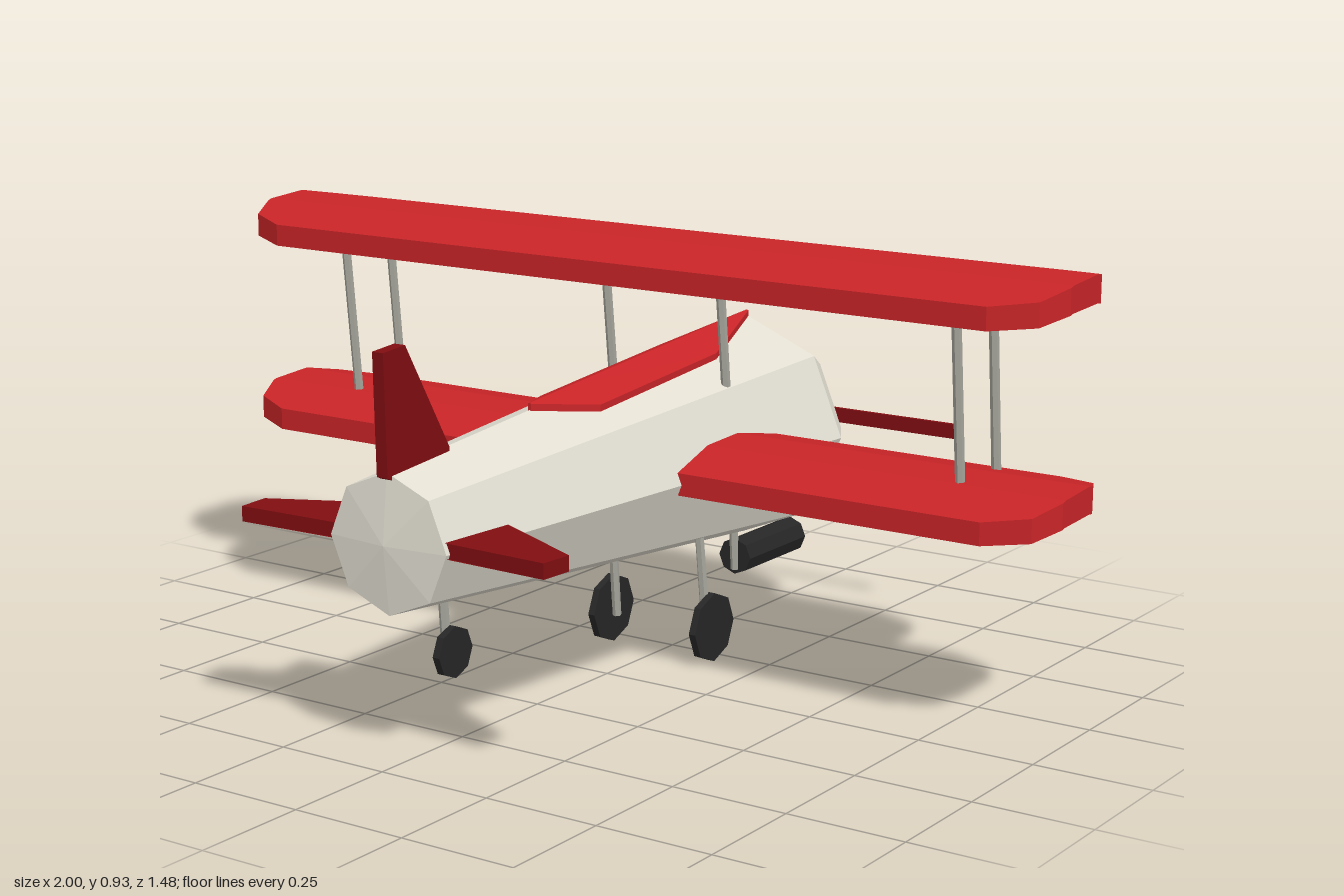
import * as THREE from 'three';

const mat = (name, color) => {
  const m = new THREE.MeshStandardMaterial({ color, flatShading: true });
  m.name = name;
  return m;
};

// Solid from equal-length point loops, counterclockwise seen from the last loop
function loft(loops) {
  const n = loops[0].length, index = [];
  for (let i = 0; i < loops.length - 1; i++) {
    for (let j = 0; j < n; j++) {
      const k = (j + 1) % n, a = i * n + j, b = i * n + k;
      index.push(a, b, b + n, a, b + n, a + n);
    }
  }
  const last = (loops.length - 1) * n;
  for (let j = 1; j < n - 1; j++) index.push(0, j + 1, j, last, last + j, last + j + 1);
  const g = new THREE.BufferGeometry();
  g.setAttribute('position', new THREE.Float32BufferAttribute(loops.flat(2), 3));
  g.setIndex(index);
  g.computeVertexNormals();
  return g;
}

// Eight-sided body of revolution along z, from [radius, z] with z ascending
function turned(profile) {
  return new THREE.LatheGeometry(profile.map(([r, z]) => new THREE.Vector2(r, z)), 8).rotateX(Math.PI / 2);
}

// Arched aerofoil: [z, top y, bottom y] relative to the upper wing
const AEROFOIL = [[-0.325, 0.906, 0.858], [-0.205, 0.927, 0.87], [-0.1, 0.92, 0.866], [0.02, 0.885, 0.838]];
function aerofoilAt(z, column) {
  let i = 0;
  while (i < 2 && z > AEROFOIL[i + 1][0]) i++;
  const p = AEROFOIL[i], q = AEROFOIL[i + 1];
  return THREE.MathUtils.lerp(p[column], q[column], (z - p[0]) / (q[0] - p[0]));
}
// Stations are [x, leading z, trailing z]
function wing(stations, drop) {
  return loft(stations.map(([x, lead, trail]) => {
    const zs = [lead, -0.205, -0.1, trail];
    const top = zs.map(z => [x, aerofoilAt(z, 1) - drop, z]);
    const bottom = zs.map(z => [x, aerofoilAt(z, 2) - drop, z]).reverse();
    return [...top, ...bottom];
  }));
}

export function createModel() {
  const model = new THREE.Group();
  model.name = 'biplane';
  const cream = mat('cream', 0xe2dfd2);
  const red = mat('red', 0xc82427);
  const darkRed = mat('dark red', 0x800d11);
  const grey = mat('strut grey', 0xa9a89e);
  const black = mat('black', 0x262626);

  const add = (name, geometry, material, x = 0, y = 0, z = 0) => {
    const m = new THREE.Mesh(geometry, material);
    m.name = name;
    m.position.set(x, y, z);
    model.add(m);
    return m;
  };
  const rod = (name, from, to, r = 0.01) => {
    const a = new THREE.Vector3(...from), b = new THREE.Vector3(...to);
    const m = add(name, new THREE.CylinderGeometry(r, r, a.distanceTo(b), 6), grey);
    m.position.copy(a).lerp(b, 0.5);
    m.quaternion.setFromUnitVectors(new THREE.Vector3(0, 1, 0), b.sub(a).normalize());
  };

  // Tapered octagonal fuselage with an open cowling
  const axisY = 0.443;
  add('fuselage', turned([[0.16, -0.6], [0.165, -0.632], [0.193, -0.632], [0.247, -0.54], [0.14, 0.72], [0, 0.735]]), cream, 0, axisY);
  add('engineFace', turned([[0, -0.615], [0.164, -0.615]]), black, 0, axisY);

  // Red ridge fairing lying on the fuselage top
  const fairing = [[-0.54, 0.004], [-0.3, 0.075], [0.13, 0.075], [0.27, 0.004]];
  add('cockpitFairing', loft(fairing.map(([z, w]) => {
    const ridge = 0.703 - (z + 0.54) * 0.083, eave = ridge - 0.414 * w;
    return [[w, eave - 0.025, z], [w, eave, z], [0, ridge, z], [-w, eave, z], [-w, eave - 0.025, z]];
  })), red);

  // Upper wing and two lower wing halves with clipped tips
  const tip = [[0.88, -0.325, 0.02], [0.97, -0.285, -0.02], [1, -0.22, -0.09]];
  const mirrored = tip.map(([x, a, b]) => [-x, a, b]).reverse();
  const root = [0.12, -0.325, 0.02];
  add('upperWing', wing([...mirrored, ...tip], 0), red);
  add('leftLowerWing', wing([root, ...tip], 0.417), red);
  add('rightLowerWing', wing([...mirrored, [-0.12, -0.325, 0.02]], 0.417), red);

  // Tail surfaces
  const fin = [[0.56, 0.545], [0.6, 0.545], [0.82, 0.675], [0.815, 0.74], [0.575, 0.733], [0.56, 0.7]];
  add('tailFin', loft([-0.013, 0.013].map(x => fin.map(([y, z]) => [x, y, z]))), darkRed);
  const plane = [[0, 0.71], [0.14, 0.71], [0.365, 0.722], [0.37, 0.65], [0.14, 0.535],
    [-0.14, 0.535], [-0.37, 0.65], [-0.365, 0.722], [-0.14, 0.71]];
  add('tailplane', loft([0.434, 0.465].map(y => plane.map(([x, z]) => [x, y, z]))), darkRed);

  // Propeller
  add('propellerHub', turned([[0, -0.69], [0.018, -0.69], [0.018, -0.682], [0.04, -0.68], [0.04, -0.65],
    [0.063, -0.65], [0.063, -0.61]]), red, 0, 0.457);
  add('propellerBlades', new THREE.BoxGeometry(0.9, 0.032, 0.01), darkRed, 0, 0.457, -0.686);

  // Wing struts and main landing gear on both sides
  for (const s of [1, -1]) {
    const side = s > 0 ? 'left' : 'right';
    rod(side + 'RearWingStrut', [s * 0.765, 0.88, -0.075], [s * 0.765, 0.48, -0.117]);
    rod(side + 'FrontWingStrut', [s * 0.765, 0.89, -0.228], [s * 0.765, 0.48, -0.27]);
    rod(side + 'CabaneStrut', [s * 0.145, 0.89, -0.195], [s * 0.145, 0.57, -0.233]);
    rod(side + 'GearLeg', [s * 0.113, 0.3, -0.178], [s * 0.117, 0.06, -0.205]);
    add(side + 'Wheel', new THREE.CylinderGeometry(0.076, 0.076, 0.016, 8).rotateZ(Math.PI / 2), black, s * 0.131, 0.076, -0.203);
  }

  // Tail wheel
  rod('tailWheelLeg', [-0.002, 0.32, 0.555], [-0.002, 0.175, 0.543]);
  add('tailWheel', new THREE.CylinderGeometry(0.053, 0.053, 0.016, 8).rotateZ(Math.PI / 2), black, 0.013, 0.19, 0.544);

  // Cylinder slung under the nose
  rod('underNoseLeg', [0, 0.24, -0.492], [0, 0.115, -0.503]);
  add('underNoseCylinder', new THREE.CylinderGeometry(0.041, 0.041, 0.238, 8).rotateX(Math.PI / 2), black, 0, 0.145, -0.62);

  return model;
}
